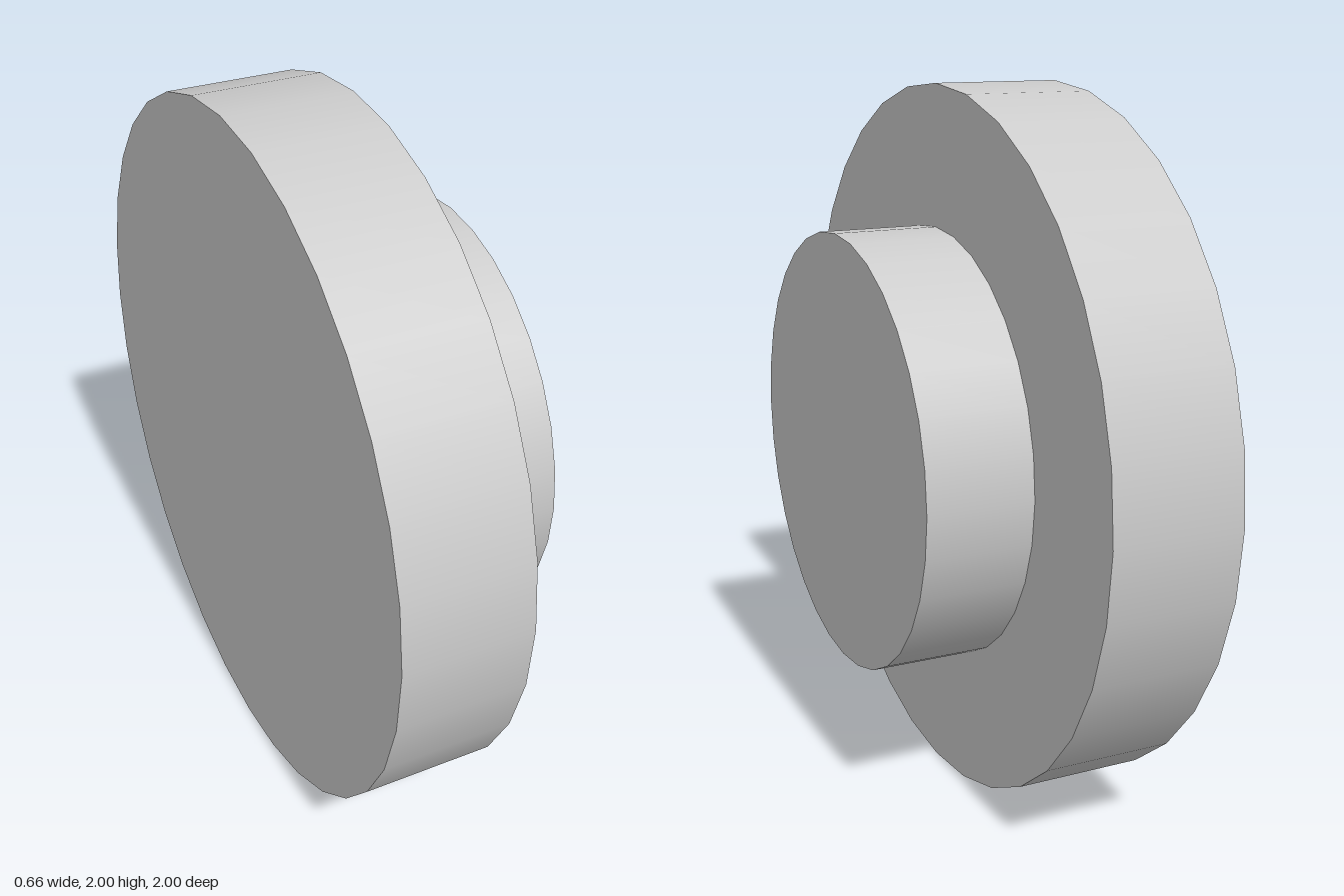
import * as THREE from 'three';

const SIDES = 32;
const CENTRE_Y = 1;

// Solid disc lying along the x axis between x0 and x1
function disc(name, radius, x0, x1, material) {
  const geometry = new THREE.CylinderGeometry(radius, radius, x1 - x0, SIDES);
  geometry.rotateZ(-Math.PI / 2);
  const mesh = new THREE.Mesh(geometry, material);
  mesh.name = name;
  mesh.position.set((x0 + x1) / 2, CENTRE_Y, 0);
  return mesh;
}

export function createModel() {
  const grey = new THREE.MeshStandardMaterial({ color: 0xcccccc });
  const model = new THREE.Group();
  model.name = 'steppedDisc';

  // Wide flange on the right, narrower boss on the left (+x)
  model.add(disc('flange', 1, -0.33, 0.033, grey));
  model.add(disc('boss', 0.613, 0.033, 0.33, grey));

  return model;
}
